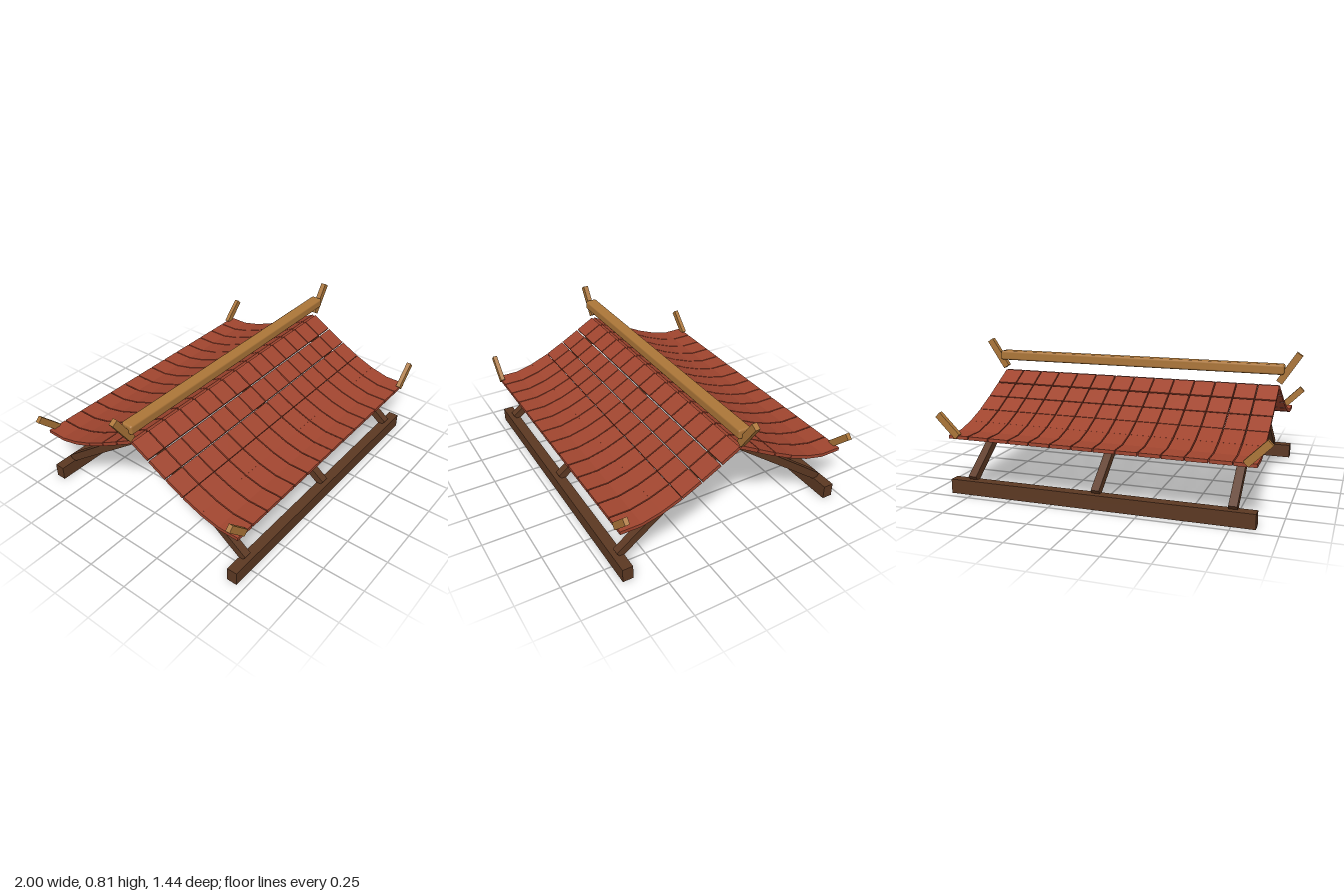
import * as THREE from 'three';
import { RoundedBoxGeometry } from 'three/addons/geometries/RoundedBoxGeometry.js';

const material = (name, color) => {
  const m = new THREE.MeshStandardMaterial({ color });
  m.name = name;
  return m;
};

export function createModel() {
  const tileRed = material('tile red', 0xa0452f);
  const darkWood = material('dark wood', 0x5c3822);
  const goldWood = material('golden wood', 0xac7638);

  const model = new THREE.Group();
  model.name = 'tiledRoof';

  const add = (parent, name, geometry, mat, x, y, z) => {
    const mesh = new THREE.Mesh(geometry, mat);
    mesh.name = name;
    mesh.position.set(x, y, z);
    parent.add(mesh);
    return mesh;
  };

  // Tile rows from ridge to eave: height of the row centre and its slope
  const rows = [
    [0.571, 0.51], [0.505, 0.505], [0.443, 0.47],
    [0.389, 0.375], [0.351, 0.24], [0.337, 0],
  ];
  const columns = 14, pitch = 0.1255, rowStep = 0.1175;
  const tileGeo = new THREE.BoxGeometry(0.119, 0.02, 0.126);
  const rafterGeo = new THREE.BoxGeometry(0.047, 0.045, 0.833);
  const sillGeo = new THREE.BoxGeometry(1.755, 0.083, 0.062);
  const cornerGeo = new THREE.BoxGeometry(0.17, 0.04, 0.026);
  const finialGeo = new THREE.BoxGeometry(0.04, 0.2, 0.03);

  for (const side of [1, -1]) {
    const slope = new THREE.Group();
    slope.name = side > 0 ? 'frontSlope' : 'backSlope';
    model.add(slope);

    // Curved field of separate tiles
    rows.forEach(([y, tilt], r) => {
      for (let c = 0; c < columns; c++) {
        const x = (c - (columns - 1) / 2) * pitch;
        add(slope, 'tile', tileGeo, tileRed, x, y, side * (r + 0.5) * rowStep)
          .rotation.x = side * tilt;
      }
    });

    // Rafters leaning up to the ridge
    for (const x of [-0.753, 0, 0.753]) {
      add(slope, 'rafter', rafterGeo, darkWood, x, 0.333, side * 0.335)
        .rotation.x = side * 0.636;
    }

    // Ground beam
    add(slope, 'groundBeam', sillGeo, darkWood, 0, 0.0415, side * 0.673);

    // Upturned eave corners
    for (const end of [1, -1]) {
      add(slope, 'eaveCorner', cornerGeo, goldWood, end * 0.877, 0.402, side * 0.705)
        .rotation.z = end * Math.PI / 4;
    }
  }

  // Ridge beam with softened edges
  add(model, 'ridgeBeam', new RoundedBoxGeometry(1.8, 0.058, 0.074, 1, 0.012),
    goldWood, 0, 0.706, 0);

  // Slanted finials at the ridge ends
  for (const end of [1, -1]) {
    add(model, 'ridgeFinial', finialGeo, goldWood, end * 0.928, 0.714, 0)
      .rotation.z = -end * 0.58;
  }

  return model;
}
